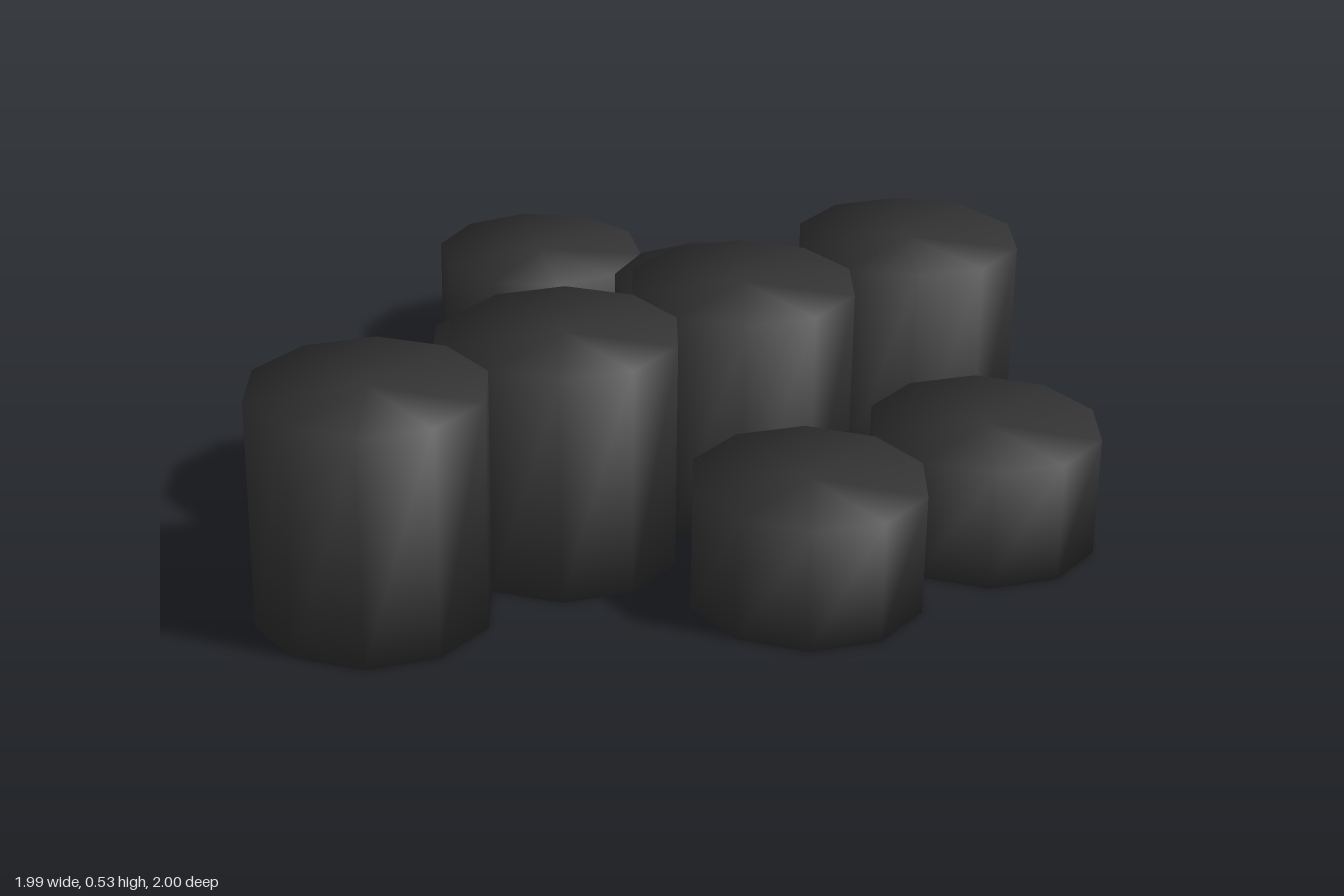
import * as THREE from 'three';

const SIDES = 10;
const RADIUS = 0.263;

// Ten-sided column standing on y = 0, with soft normals running over the rim
function columnGeometry(height) {
  const geo = new THREE.CylinderGeometry(RADIUS, RADIUS, height, SIDES, 1, false, Math.PI / 2);
  const pos = geo.attributes.position;
  const n = new THREE.Vector3();
  for (let i = 0; i < pos.count; i++) {
    n.set(pos.getX(i) / RADIUS, Math.sign(pos.getY(i)) * 0.84, pos.getZ(i) / RADIUS).normalize();
    geo.attributes.normal.setXYZ(i, n.x, n.y, n.z);
  }
  return geo.translate(0, height / 2, 0);
}

export function createModel() {
  const group = new THREE.Group();
  group.name = 'columnCluster';
  const charcoal = new THREE.MeshStandardMaterial({ color: 0x333333 });
  charcoal.name = 'charcoal';

  const tall = columnGeometry(0.53);
  const low = columnGeometry(0.28);

  function addColumn(name, geo, x, z, turn = 0) {
    const mesh = new THREE.Mesh(geo, charcoal);
    mesh.name = name;
    mesh.position.set(x, 0, z);
    mesh.rotation.y = turn;
    group.add(mesh);
  }

  // Central row of tall columns
  for (let i = 0; i < 4; i++) addColumn(`tallColumn${i + 1}`, tall, 0.23, -0.75 + i * 0.5);

  // Low columns in pairs around the row: x, z, turn
  [
    [-0.25, -0.01, 0], [-0.25, 0.49, 0],
    [0.728, -0.557, -0.03], [0.713, -0.057, -0.03],
    [-0.303, -0.6, 0.19], [-0.739, -0.353, 0.19],
  ].forEach(([x, z, turn], i) => addColumn(`lowColumn${i + 1}`, low, x, z, turn));

  return group;
}
